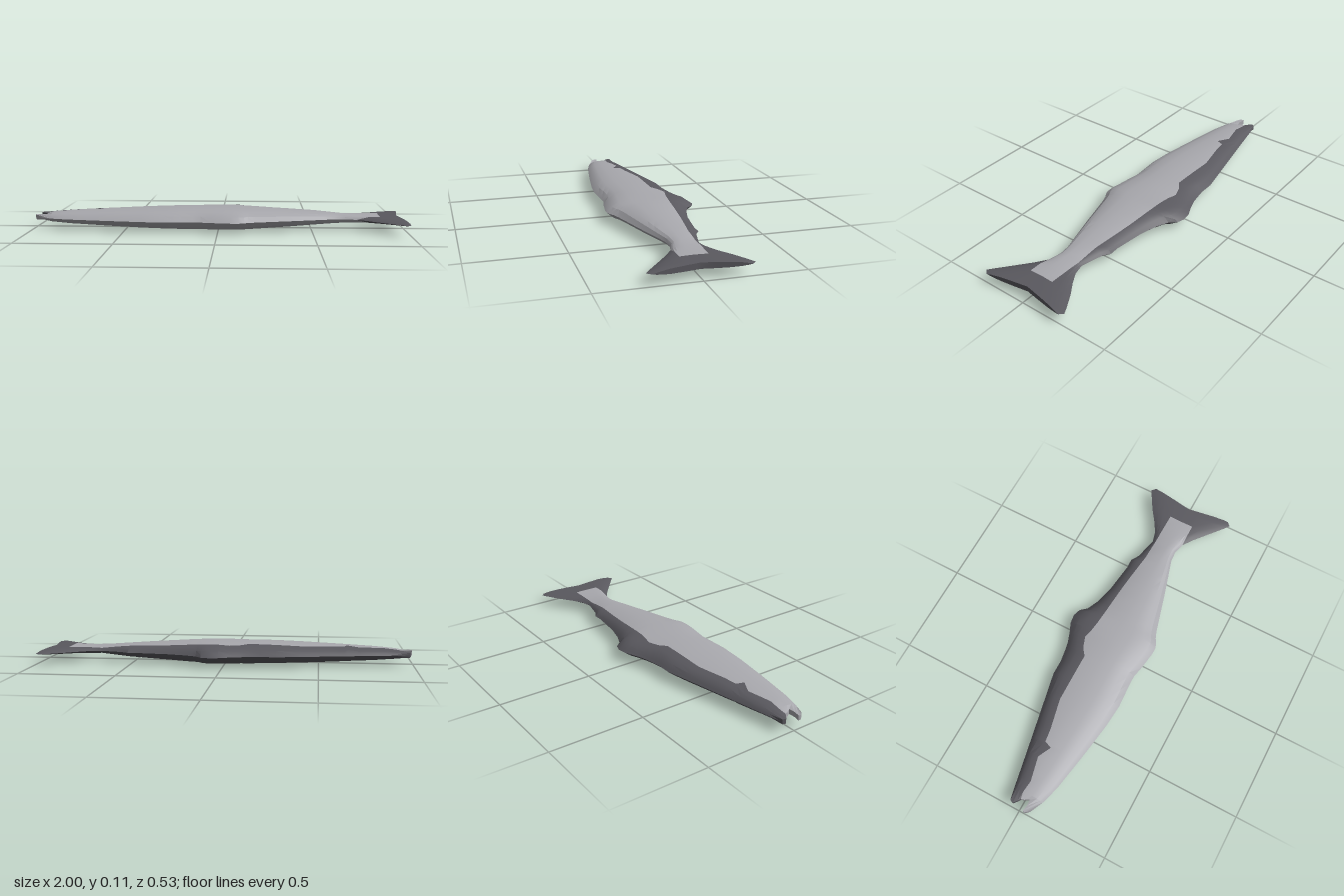
import * as THREE from 'three';
import { toCreasedNormals } from 'three/addons/utils/BufferGeometryUtils.js';

const MID_Y = 0.0572;

// Outlines along the length, as [x, value] pairs
const BACK = [[-0.98, -0.06], [-0.8, -0.095], [-0.6, -0.135], [-0.28, -0.2], [-0.2, -0.2], [-0.1, -0.215],
  [-0.03, -0.24], [0.02, -0.262], [0.07, -0.268], [0.11, -0.255], [0.14, -0.22], [0.2, -0.192], [0.3, -0.165],
  [0.47, -0.143], [0.52, -0.145], [0.56, -0.12], [0.68, -0.09], [0.74, -0.105], [0.8, -0.14], [0.87, -0.188],
  [0.95, -0.235], [0.98, -0.25], [1, -0.23]];
const BELLY = [[-0.98, 0.06], [-0.9, 0.1], [-0.8, 0.125], [-0.6, 0.16], [-0.4, 0.19], [-0.28, 0.2], [-0.1, 0.19],
  [-0.03, 0.205], [0.07, 0.22], [0.12, 0.22], [0.16, 0.195], [0.2, 0.18], [0.4, 0.125], [0.52, 0.09],
  [0.62, 0.06], [0.68, 0.055], [0.74, 0.07], [0.8, 0.112], [0.87, 0.168], [0.95, 0.235], [0.98, 0.258], [1, 0.235]];
const COLOUR_LINE = [[-0.96, -0.025], [-0.85, -0.01], [-0.72, -0.04], [-0.65, -0.004], [-0.635, -0.045],
  [-0.56, -0.055], [-0.4, -0.09], [-0.13, -0.09], [-0.09, -0.12], [-0.02, -0.145], [0.03, -0.125], [0.14, -0.115],
  [0.35, -0.1], [0.56, -0.075], [0.74, -0.072], [1, -0.068]];
const THICKNESS = [[-1, 0.012], [-0.92, 0.024], [-0.8, 0.033], [-0.6, 0.042], [-0.4, 0.05], [-0.2, 0.056],
  [0, 0.0572], [0.2, 0.053], [0.4, 0.042], [0.6, 0.029], [0.7, 0.023], [0.8, 0.018], [1, 0.015]];
// Half cross-section, from the flank ridge to the edge
const PROFILE = [[0, 1], [0.35, 0.95], [0.65, 0.81], [0.85, 0.5], [1, 0]];

const STATIONS = [-0.91, -0.85, -0.8, -0.72, -0.65, -0.635, -0.56, -0.4, -0.28, -0.2, -0.13, -0.09, -0.03, 0.02,
  0.07, 0.11, 0.14, 0.16, 0.2, 0.3, 0.4, 0.47, 0.52, 0.56, 0.62, 0.68, 0.74, 0.8, 0.87, 0.95, 0.98, 1];

// Jaw edge with the open mouth, as [x, z] from back to belly
const JAWS = [[-0.965, -0.062], [-0.979, -0.057], [-0.985, -0.04], [-0.965, -0.022], [-0.95, -0.012],
  [-0.945, 0.005], [-0.93, 0.03], [-0.965, 0.033], [-0.997, 0.026], [-1, 0.036], [-0.993, 0.048],
  [-0.982, 0.058], [-0.965, 0.07]];

function sample(line, x) {
  if (x <= line[0][0]) return line[0][1];
  for (let i = 1; i < line.length; i++) {
    const [x0, v0] = line[i - 1], [x1, v1] = line[i];
    if (x <= x1) return v0 + (v1 - v0) * (x - x0) / (x1 - x0);
  }
  return line[line.length - 1][1];
}

// One cross-section: points of [x, z, half thickness]
function section(x) {
  const back = sample(BACK, x), belly = sample(BELLY, x), line = sample(COLOUR_LINE, x);
  const low = x > 0.7 ? Math.min(belly, 0.07) : belly;
  const zs = [
    ...[0, 0.12, 0.3, 0.6, 1].map((f) => back + (line - back) * f),
    0,
    ...[0.35, 0.65, 0.85, 1].map((f) => low * f),
    ...[0.5, 0.85, 1].map((f) => low + (belly - low) * f),
  ];
  return zs.map((z) => {
    const t = z < 0 ? z / back : z / belly;
    // fork of the tail
    const fork = x > 0.85 ? 0.04 * (1 - Math.min(1, Math.abs(z) / 0.23)) * (x - 0.85) / 0.15 : 0;
    return [x - fork, z, sample(THICKNESS, x) * sample(PROFILE, t)];
  });
}

function fishGeometry() {
  const last = JAWS.length - 1;
  const nose = JAWS.map(([x, z], j) => [x, z, j === 0 || j === last ? 0 : 0.013]);
  const rows = [nose, ...STATIONS.map(section)];
  const dark = [], light = [];

  const a = new THREE.Vector3(), b = new THREE.Vector3();
  const triangle = (out, p, q, r) => {
    a.subVectors(q, p);
    b.subVectors(r, p);
    if (a.cross(b).length() < 1e-9) return;
    for (const v of [p, q, r]) out.push(v.x, v.y, v.z);
  };
  const quad = (out, p, q, r, s) => {
    triangle(out, p, q, r);
    triangle(out, p, r, s);
  };
  const point = (i, j, side) => {
    const [x, z, h] = rows[i][j];
    return new THREE.Vector3(x, MID_Y + side * h, z);
  };

  for (let i = 0; i < rows.length - 1; i++) {
    const start = i === 0 ? -1 : STATIONS[i - 1];
    for (let j = 0; j < last; j++) {
      const isDark = j < 4 || start >= 0.87 || (j >= 9 && start >= 0.7);
      const out = isDark ? dark : light;
      // upper and lower flank
      quad(out, point(i, j, 1), point(i, j + 1, 1), point(i + 1, j + 1, 1), point(i + 1, j, 1));
      quad(out, point(i, j, -1), point(i + 1, j, -1), point(i + 1, j + 1, -1), point(i, j + 1, -1));
    }
  }
  // close the mouth rim and the trailing edge of the tail
  const end = rows.length - 1;
  for (let j = 0; j < last; j++) {
    quad(j < 4 ? dark : light, point(0, j, 1), point(0, j, -1), point(0, j + 1, -1), point(0, j + 1, 1));
    quad(dark, point(end, j, 1), point(end, j + 1, 1), point(end, j + 1, -1), point(end, j, -1));
  }

  const geometry = new THREE.BufferGeometry();
  geometry.setAttribute('position', new THREE.Float32BufferAttribute([...dark, ...light], 3));
  geometry.addGroup(0, dark.length / 3, 0);
  geometry.addGroup(dark.length / 3, light.length / 3, 1);
  return toCreasedNormals(geometry, 0.35);
}

export function createModel() {
  const darkGrey = new THREE.MeshStandardMaterial({ color: 0x5a595f });
  darkGrey.name = 'dark grey';
  const silver = new THREE.MeshStandardMaterial({ color: 0xa9a9ae });
  silver.name = 'silver';

  const group = new THREE.Group();
  group.name = 'fish';
  const body = new THREE.Mesh(fishGeometry(), [darkGrey, silver]);
  body.name = 'bodyWithFinsAndTail';
  group.add(body);
  return group;
}
